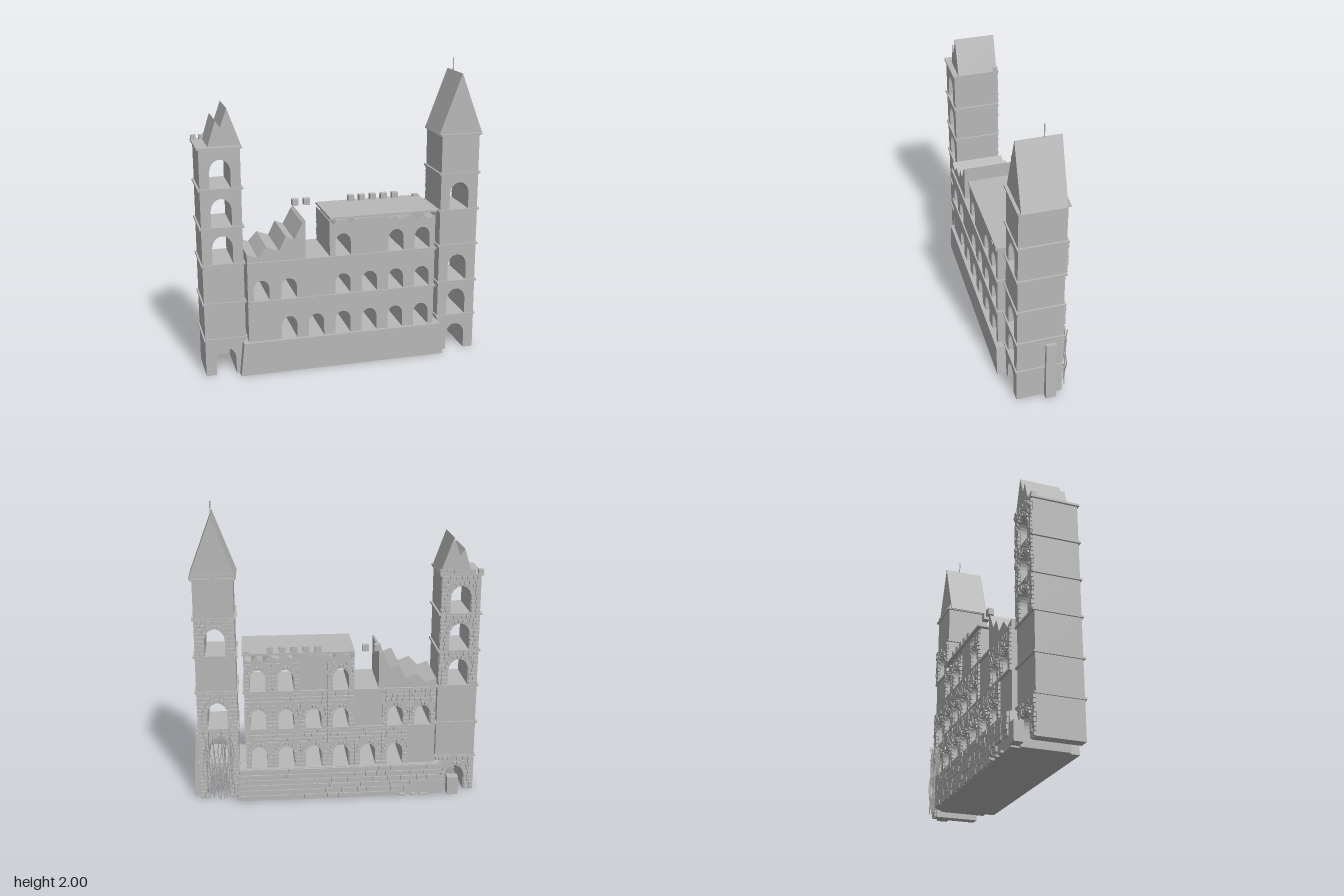
import * as THREE from 'three';
import { mergeGeometries } from 'three/addons/utils/BufferGeometryUtils.js';

export function createModel() {
  const castle = new THREE.Group();
  castle.name = 'ruinedCastle';
  const stone = new THREE.MeshStandardMaterial({ color: 0xb8b8b8 });
  stone.name = 'greyStone';

  let seed = 11;
  const rand = (a, b) => {
    seed = (seed * 16807) % 2147483647;
    return a + (b - a) * (seed / 2147483647);
  };
  const add = (name, geometry, parent = castle) => {
    const mesh = new THREE.Mesh(geometry, stone);
    mesh.name = name;
    parent.add(mesh);
    return mesh;
  };
  const group = (name) => {
    const g = new THREE.Group();
    g.name = name;
    castle.add(g);
    return g;
  };
  // Box given by its limits on each axis
  const block = (x0, x1, y0, y1, z0, z1) =>
    new THREE.BoxGeometry(x1 - x0, y1 - y0, z1 - z0)
      .translate((x0 + x1) / 2, (y0 + y1) / 2, (z0 + z1) / 2);
  // Flat outline extruded from z0 to z1
  const slab = (points, z0, z1) =>
    new THREE.ExtrudeGeometry(
      new THREE.Shape(points.map(([x, y]) => new THREE.Vector2(x, y))),
      { depth: z1 - z0, bevelEnabled: false }
    ).translate(0, 0, z0);

  // Arched opening standing on the foot of a storey
  const RISE = 1.2;
  const archPoints = ({ x, hw, h }, y0) => {
    const pts = [[x - hw, y0]];
    for (let i = 0; i <= 12; i++) {
      const t = Math.PI * (1 - i / 12);
      pts.push([x + hw * Math.cos(t), y0 + h - hw * RISE * (1 - Math.sin(t))]);
    }
    pts.push([x + hw, y0]);
    return pts;
  };
  const wall = (x0, x1, y0, y1, z0, z1, arches, top = [[x1, y1], [x0, y1]]) =>
    slab([[x0, y0], ...arches.flatMap((a) => archPoints(a, y0)), [x1, y0], ...top], z0, z1);

  // One raised stone on the rear face
  const brick = (w, h, x, y, z, angle = 0) => {
    const d = rand(0.018, 0.03);
    return new THREE.BoxGeometry(w, h, d).rotateZ(angle).translate(x, y, z);
  };
  // Course of irregular stones between two limits
  const course = (list, x0, x1, y, h, z, length) => {
    let x = x0;
    while (x1 - x > 0.008) {
      let w = rand(0.7, 1.3) * length;
      if (x1 - x - w < length * 0.4) w = x1 - x;
      list.push(brick(w - 0.005, h - 0.005, x + w / 2, y + h / 2, z));
      x += w;
    }
  };
  // Stone facing with wedge stones around an arch
  const facing = (x0, x1, y0, y1, z, a) => {
    const list = [];
    const ring = 0.024;
    const spring = y0 + a.h - a.hw * RISE;
    const rows = Math.round((y1 - y0) / 0.028);
    const h = (y1 - y0) / rows;
    for (let r = 0; r < rows; r++) {
      const y = y0 + r * h;
      const k = Math.max(0, y - spring) / (a.hw * RISE + ring);
      const half = k < 1 ? (a.hw + (y < spring ? 0 : ring)) * Math.sqrt(1 - k * k) : 0;
      if (half > 0) {
        course(list, x0, a.x - half - 0.002, y, h, z, 0.038);
        course(list, a.x + half + 0.002, x1, y, h, z, 0.038);
      } else course(list, x0, x1, y, h, z, 0.038);
    }
    for (let i = 0; i < 9; i++) {
      const t = (Math.PI * (i + 0.5)) / 9;
      list.push(brick(ring, a.hw * 0.33, a.x + (a.hw + ring / 2) * Math.cos(t),
        spring + (a.hw * RISE + ring / 2) * Math.sin(t), z - 0.003, t));
    }
    return mergeGeometries(list);
  };

  // Sloping plinth with large coursed masonry behind
  const base = group('plinth');
  add('plinthBody', slab([[-0.73, 0], [0.67, 0], [0.645, 0.225], [-0.705, 0.225]], -0.2, 0.22), base);
  const courses = [];
  for (let r = 0; r < 6; r++) {
    const start = r < 2 ? -0.42 + r * -0.1 : -0.7;
    course(courses, start, 0.645, r * 0.0375, 0.0375, -0.203, 0.085);
  }
  add('plinthStones', mergeGeometries(courses), base);
  [[-0.62, 0.05], [-0.54, 0.03], [-0.47, 0.04]].forEach(([x, w]) =>
    add('fallenStone', block(x, x + w, 0, 0.014, -0.222, -0.19), base));

  // Main hall: seven bays, some blocked
  const hall = group('hall');
  const bayX = (i) => -0.58 + i * 0.1817;
  const ragged = [[0.6, 1.02], [0.59, 0.99], [0.55, 0.975], [0.52, 1.01], [0.475, 0.965], [0.43, 1.015],
    [0.37, 0.985], [0.32, 1.012], [0.28, 0.99], [0.25, 1.015], [0.04, 1.01], [0.015, 0.985],
    [-0.01, 1.015], [-0.08, 1.01], [-0.1, 0.98], [-0.125, 1.005]];
  const storeys = [
    { x0: -0.67, y0: 0.225, y1: 0.492, h: 0.155, bays: [1, 2, 3, 4, 5, 6] },
    { x0: -0.67, y0: 0.505, y1: 0.757, h: 0.14, bays: [0, 1, 3, 4, 5, 6] },
    { x0: -0.125, y0: 0.77, y1: 1.02, h: 0.15, bays: [3, 5, 6], top: ragged },
  ];
  for (const { x0, y0, y1, h, bays, top } of storeys) {
    const arches = bays.map((i) => ({ x: bayX(i), hw: 0.052, h }));
    add('hallStorey', wall(x0, 0.6, y0, y1, -0.17, 0.197, arches, top), hall);
    add('hallMoulding', block(x0, 0.61, y1, y1 + 0.014, -0.185, 0.207), hall);
    for (const a of arches)
      add('bayStones', facing(a.x - 0.09, a.x + 0.09, y0, top ? 0.965 : y1, -0.172, a), hall);
  }
  add('brokenWall', slab([[-0.67, 0.77], [-0.285, 0.77], [-0.285, 1.025], [-0.305, 1.01], [-0.36, 0.905],
    [-0.415, 0.93], [-0.46, 0.835], [-0.54, 0.865], [-0.6, 0.8], [-0.67, 0.825]], -0.17, 0.195), hall);
  [-0.275, -0.195, 0.115, 0.192, 0.27, 0.347, 0.427].forEach((x) =>
    add('hallMerlon', block(x - 0.021, x + 0.021, 1.03, 1.073, -0.18, -0.14), hall));
  add('brokenMerlon', block(0.56, 0.6, 1.03, 1.048, -0.18, -0.14), hall);

  // Towers: six storeys, open where an arch is listed
  const levels = [0, 0.258, 0.505, 0.768, 1.013, 1.265, 1.527];
  const tower = (name, cx, open) => {
    const g = group(name);
    for (let i = 0; i < 6; i++) {
      const y0 = levels[i], y1 = levels[i + 1] - 0.013;
      const hw = 0.134 - i * 0.0008;
      const arch = { x: cx, hw: 0.066, h: 0.184 };
      const isOpen = open.includes(i);
      add('towerStorey', wall(cx - hw, cx + hw, y0, y1, -0.14, 0.157, isOpen ? [arch] : []), g);
      add('towerMoulding', block(cx - 0.143, cx + 0.143, y1, y1 + 0.013, -0.152, 0.167), g);
      if (isOpen) add('towerStones', facing(cx - hw, cx + hw, y0, y1, -0.142, arch), g);
    }
    return g;
  };
  const rightTower = tower('brokenTower', -0.817, [0, 3, 4, 5]);
  const leftTower = tower('spireTower', 0.78, [0, 1, 2, 4]);

  // Tower roofs
  add('brokenRoof', slab([[-0.885, 1.527], [-0.675, 1.527], [-0.76, 1.765], [-0.803, 1.645], [-0.832, 1.69]],
    -0.14, 0.13), rightTower);
  add('spireRoof', slab([[0.63, 1.52], [0.932, 1.52], [0.78, 1.92]], -0.13, 0.147), leftTower);
  add('finial', new THREE.CylinderGeometry(0.004, 0.004, 0.12, 8).translate(0.78, 1.94, -0.025), leftTower);
  [-0.942, -0.89, -0.835, -0.785, -0.735, -0.69].forEach((x) =>
    add('towerMerlon', block(x - 0.016, x + 0.016, 1.52, 1.555, -0.148, -0.115), rightTower));
  [0.665, 0.722, 0.78, 0.838, 0.895].forEach((x) =>
    add('towerMerlon', block(x - 0.016, x + 0.016, 1.52, 1.555, -0.142, -0.11), leftTower));

  // Leaning buttress and block beside the rear doorway
  add('buttress', slab([[0.905, 0], [0.957, 0], [0.932, 0.45], [0.91, 0.45]], -0.1, -0.03), leftTower);
  add('doorBlock', block(-0.832, -0.757, 0, 0.127, -0.225, -0.165), rightTower);

  // Bare creeper stems on the rear of the spire tower
  const stems = [];
  for (let i = 0; i < 20; i++) {
    const x = 0.68 + i * 0.0102, foot = rand(0, 0.1), height = rand(0.28, 0.48);
    const points = [];
    for (let k = 0; k < 5; k++)
      points.push(new THREE.Vector3(x + rand(-0.016, 0.016), foot + (height * k) / 4, -0.183 + rand(-0.006, 0.006)));
    stems.push(new THREE.TubeGeometry(new THREE.CatmullRomCurve3(points), 10, 0.0035, 5));
  }
  add('creeperStems', mergeGeometries(stems), leftTower);

  return castle;
}
